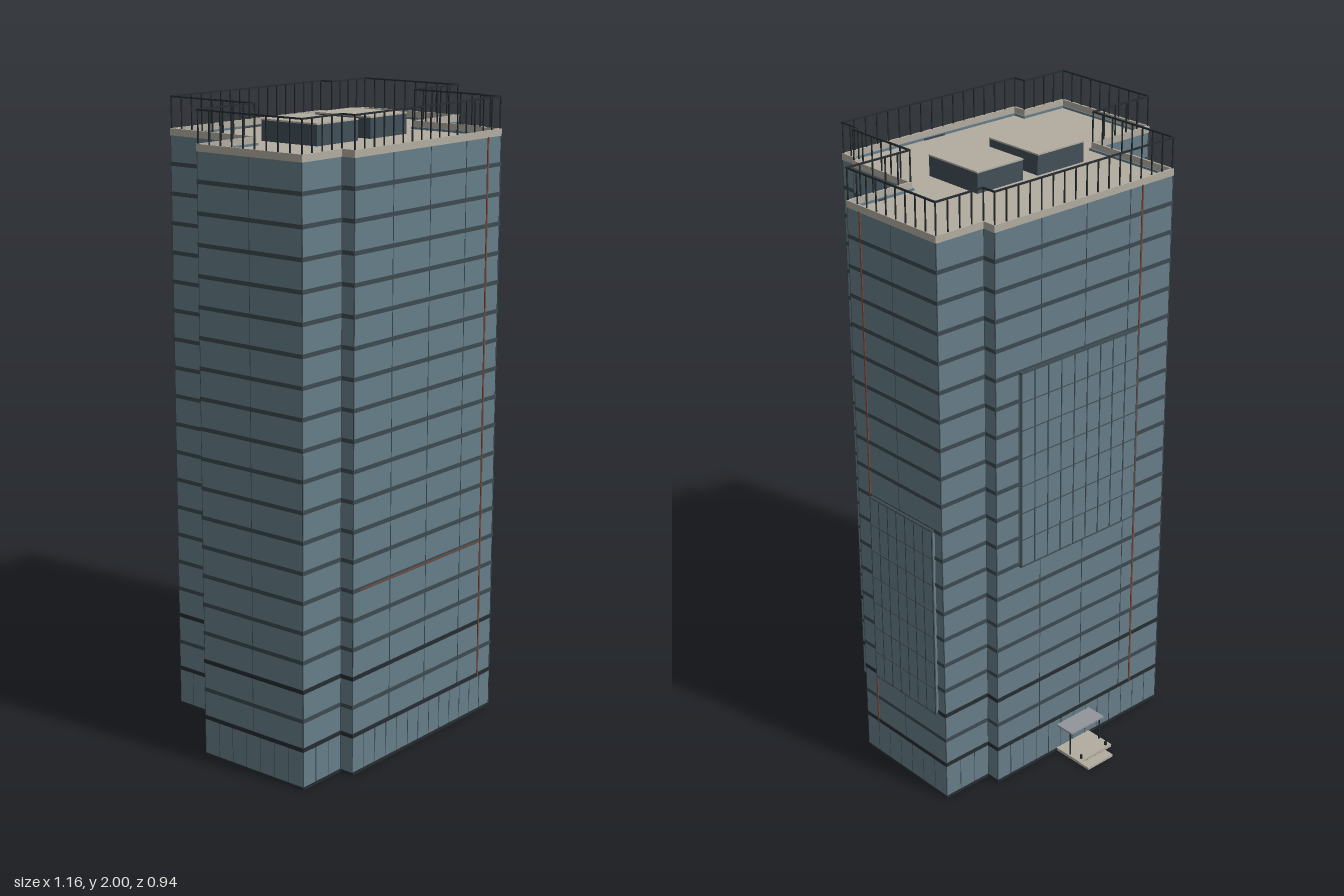
import * as THREE from 'three';

const mat = (color) => new THREE.MeshStandardMaterial({ color, flatShading: true });
const M = {
  glass: mat(0x667d89), band: mat(0x3d4a51), dark: mat(0x262c30), stone: mat(0xb3ada0),
  pipe: mat(0x7a4a38), frame: mat(0x414f57), canopy: mat(0x92969b), ceiling: mat(0x1a2024),
};

// Stepped footprint, x and z, starting at the back
const PLAN = [
  [-0.33, -0.32], [0.39, -0.32], [0.39, -0.273], [0.565, -0.273], [0.565, 0.121], [0.332, 0.121], [0.332, 0.39],
  [0.313, 0.39], [0.313, 0.465], [-0.401, 0.465], [-0.401, 0.418], [-0.575, 0.418], [-0.575, 0.022], [-0.33, 0.022],
];
const BASE = 0.125, TOP = 1.88, FLOORS = 19;

// Move every wall of the footprint outward by d
function offset(d) {
  const n = PLAN.length;
  return PLAN.map(([x, z], i) => {
    const p = PLAN[(i + n - 1) % n], q = PLAN[(i + 1) % n];
    const nx = Math.sign(z - p[1]) + Math.sign(q[1] - z);
    const nz = -Math.sign(x - p[0]) - Math.sign(q[0] - x);
    return [x + nx * d, z + nz * d];
  });
}

const toPoints = (pts) => pts.map(([x, z]) => new THREE.Vector2(x, -z));

// Solid or hollow slab in the shape of the footprint; the hole runs the other way round
function slab(outer, inner, y0, y1) {
  const shape = new THREE.Shape(toPoints(offset(outer)));
  if (inner !== null) shape.holes.push(new THREE.Path(toPoints(offset(inner)).reverse()));
  const g = new THREE.ExtrudeGeometry(shape, { depth: y1 - y0, bevelEnabled: false });
  return g.rotateX(-Math.PI / 2).translate(0, y0, 0);
}

// Call fn for points spaced along every wall of the offset footprint
function alongWalls(d, spacing, fn) {
  const pts = offset(d);
  pts.forEach(([x, z], i) => {
    const [x2, z2] = pts[(i + 1) % pts.length];
    const n = Math.max(1, Math.round(Math.hypot(x2 - x, z2 - z) / spacing));
    for (let k = 0; k < n; k++) fn(x + (x2 - x) * k / n, z + (z2 - z) * k / n);
  });
}

export function createModel() {
  const model = new THREE.Group();
  const add = (name, geo, material, parent = model) => {
    const m = new THREE.Mesh(geo, material);
    m.name = name;
    parent.add(m);
    return m;
  };
  // Box given by its limits on each axis
  const box = (name, x0, x1, y0, y1, z0, z1, material, parent) =>
    add(name, new THREE.BoxGeometry(x1 - x0, y1 - y0, z1 - z0)
      .translate((x0 + x1) / 2, (y0 + y1) / 2, (z0 + z1) / 2), material, parent);
  const group = (name) => {
    const g = new THREE.Group();
    g.name = name;
    model.add(g);
    return g;
  };
  const post = (name, x, z, y0, y1, r, material, parent) =>
    box(name, x - r, x + r, y0, y1, z - r, z + r, material, parent);

  // Open ground floor, tower walls and roof
  add('groundFloorWall', slab(0, -0.006, 0, BASE), M.glass);
  add('plinth', slab(0.002, -0.007, 0, 0.009), M.dark);
  add('groundCeiling', slab(-0.003, null, BASE - 0.004, BASE), M.ceiling);
  add('towerWall', slab(0, -0.01, BASE, TOP), M.glass);
  add('roof', slab(-0.004, null, 1.862, 1.873), M.stone);
  add('parapet', slab(0.002, -0.005, TOP - 0.002, 1.9), M.stone);

  // Dark floor bands
  const bands = group('floorBands');
  const step = (TOP - BASE) / FLOORS;
  for (let i = 0; i < FLOORS; i++) {
    const y = BASE + i * step;
    add('floorBand', slab(0.0025, -0.002, y - 0.003, y + 0.01), i === 0 || i === 2 ? M.dark : M.band, bands);
  }

  // Fine uprights on the walls
  const uprights = group('wallUprights');
  alongWalls(0, 0.055, (x, z) => post('baseMullion', x, z, 0, BASE, 0.001, M.frame, uprights));
  alongWalls(0, 0.185, (x, z) => post('wallMullion', x, z, BASE, TOP, 0.0012, M.frame, uprights));

  // Roof railing
  const railing = group('railing');
  alongWalls(-0.002, 0.045, (x, z) => post('railPost', x, z, 1.9, 1.998, 0.0018, M.dark, railing));
  add('topRail', slab(0.001, -0.004, 1.995, 2), M.dark, railing);

  // Roof huts
  for (const [x0, x1] of [[-0.23, -0.038], [0.023, 0.204]]) {
    box('roofHut', x0, x1, 1.873, 1.936, -0.036, 0.183, M.frame);
    box('roofHutTop', x0 - 0.001, x1 + 0.001, 1.936, 1.941, -0.037, 0.184, M.stone);
  }
  // Low vents inside the parapet: centre and half width
  for (const [x, z, w] of [[0.03, -0.309, 0.042], [-0.452, 0.032, 0.014], [0.445, 0.111, 0.014], [-0.045, 0.455, 0.042]])
    box('roofVent', x - w, x + w, 1.873, 1.879, z - 0.003, z + 0.003, M.band);

  // Thin pipes on the walls
  const pipes = group('pipes');
  post('frontPipe', 0.245, 0.4655, BASE, TOP, 0.0027, M.pipe, pipes);
  post('sidePipe', 0.5655, 0.064, BASE, TOP, 0.0027, M.pipe, pipes);
  post('backPipe', -0.2, -0.3205, BASE, TOP, 0.0027, M.pipe, pipes);
  box('crossPipe', -0.37, 0.245, 0.586, 0.591, 0.463, 0.468, M.pipe, pipes);

  // Projecting glazed bay, built facing +z around its own centre
  function bay(name, w, h, depth, cols, rows) {
    const g = group(name);
    const face = [depth - 0.002, depth + 0.0015];
    box('bayGlass', -w / 2, w / 2, -h / 2, h / 2, 0, depth, M.glass, g);
    for (let i = 0; i <= cols; i++) {
      const x = -w / 2 + w * i / cols;
      box('bayUpright', x - 0.002, x + 0.002, -h / 2, h / 2, ...face, M.frame, g);
    }
    for (let j = 0; j <= rows; j++) {
      const y = -h / 2 + h * j / rows;
      box('bayCrossbar', -w / 2, w / 2, y - 0.0015, y + 0.0015, ...face, M.frame, g);
    }
    for (const s of [-1, 1])
      box('bayEdge', -w / 2 - 0.001, w / 2 + 0.001, s * h / 2 - 0.003, s * h / 2 + 0.003, 0, depth, M.band, g);
  	return g;
  }
  const side = bay('sideBay', 0.292, 0.65, 0.0115, 7, 7);
  side.position.set(0.565, 0.634, -0.094);
  side.rotation.y = Math.PI / 2;
  const back = bay('backBay', 0.485, 0.65, 0.014, 9, 7);
  back.position.set(0.058, 1.095, -0.32);
  back.rotation.y = Math.PI;

  // Back entrance: canopy, landing and ramp
  const entrance = group('entrance');
  box('canopy', -0.015, 0.131, 0.096, 0.102, -0.39, -0.32, M.canopy, entrance);
  box('landing', -0.015, 0.131, 0, 0.01, -0.428, -0.32, M.stone, entrance);
  box('rampTurn', 0.115, 0.131, 0, 0.009, -0.436, -0.428, M.stone, entrance);
  box('ramp', 0.02, 0.131, 0, 0.008, -0.47, -0.436, M.stone, entrance);
  for (const x of [-0.008, 0.124]) post('canopyPost', x, -0.377, 0.01, 0.096, 0.002, M.dark, entrance);
  for (const x of [0.002, 0.113]) post('bollard', x, -0.418, 0.01, 0.025, 0.003, M.dark, entrance);
  return model;
}
